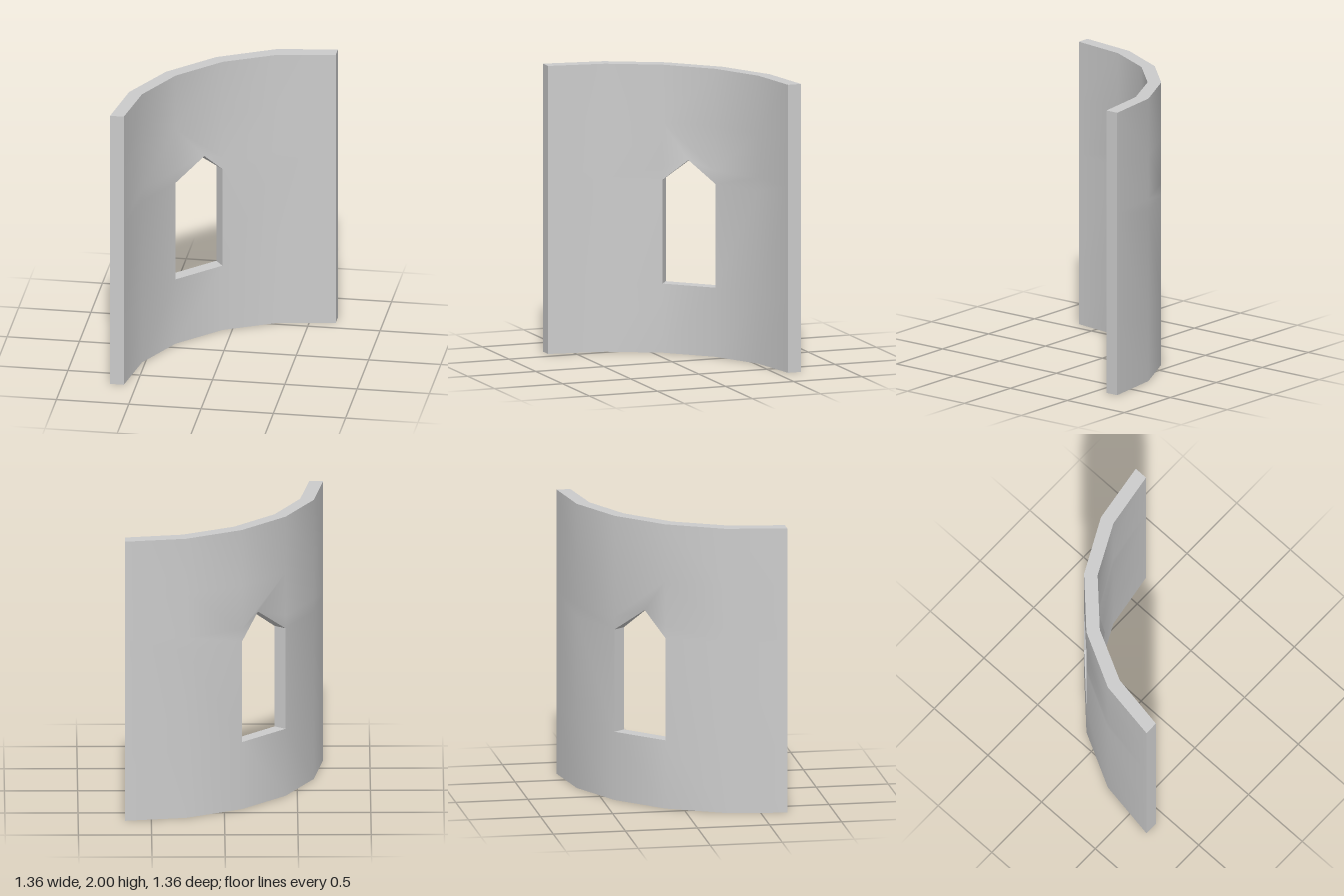
import * as THREE from 'three';

// Plan of half the wall as [x, z]; the other half mirrors it across the diagonal
const mirrorPlan = half => [...half, ...half.slice().reverse().map(([x, z]) => [z, x])];
const INNER = mirrorPlan([[-0.585, 0.68], [-0.522, 0.285], [-0.345, -0.065]]);
const OUTER = mirrorPlan([[-0.68, 0.68], [-0.615, 0.26], [-0.42, -0.12]]);
const LEVELS = [0, 0.48, 1.2, 1.29, 1.6, 2];
const COLS = INNER.length, ROWS = LEVELS.length;
const SILL = 1, SPRING = 2, TOP = ROWS - 1;
const WINDOW_COL = 2; // the window fills the panel between columns 2 and 3
const INNER_APEX = [-0.165, 1.36, -0.185];
const OUTER_APEX = [-0.23, 1.355, -0.23];

const id = (col, row) => col * ROWS + row;
const APEX = COLS * ROWS;

// All points of one face of the wall: a grid plus the tip of the arch
function facePoints(plan, apex) {
  const points = [];
  for (const [x, z] of plan) for (const y of LEVELS) points.push([x, y, z]);
  points.push(apex);
  return points;
}

// Triangles of one face, counter-clockwise as seen from the inside of the curve
function faceTriangles() {
  const tris = [];
  for (let c = 0; c < COLS - 1; c++) {
    for (let r = 0; r < TOP; r++) {
      if (c === WINDOW_COL && r >= SILL && r < TOP - 1) continue;
      const a = id(c, r), b = id(c + 1, r), d = id(c + 1, r + 1), e = id(c, r + 1);
      tris.push([a, b, d], [a, d, e]);
    }
  }
  // Folded surface over the arch
  const L = r => id(WINDOW_COL, r), R = r => id(WINDOW_COL + 1, r);
  tris.push(
    [L(2), APEX, L(3)], [L(3), APEX, L(4)],
    [APEX, R(2), R(3)], [L(4), APEX, R(3)],
    [L(4), R(3), R(4)]
  );
  return tris;
}

// Smoothly shaded face of the wall
function wallFace(points, flip) {
  const geo = new THREE.BufferGeometry();
  geo.setAttribute('position', new THREE.Float32BufferAttribute(points.flat(), 3));
  geo.setIndex(faceTriangles().flatMap(([a, b, c]) => (flip ? [a, c, b] : [a, b, c])));
  geo.computeVertexNormals();
  return geo;
}

// Flat strip joining the two faces along a closed loop of point numbers
function rim(loop, inner, outer) {
  const pos = [];
  loop.forEach((a, i) => {
    const b = loop[(i + 1) % loop.length];
    pos.push(outer[a], outer[b], inner[b], outer[a], inner[b], inner[a]);
  });
  const geo = new THREE.BufferGeometry();
  geo.setAttribute('position', new THREE.Float32BufferAttribute(pos.flat(), 3));
  geo.computeVertexNormals();
  return geo;
}

export function createModel() {
  const group = new THREE.Group();
  group.name = 'curvedWallWithWindow';
  const material = new THREE.MeshStandardMaterial({ color: 0xcccccc });
  const add = (name, geo) => {
    const mesh = new THREE.Mesh(geo, material);
    mesh.name = name;
    group.add(mesh);
  };

  const inner = facePoints(INNER, INNER_APEX);
  const outer = facePoints(OUTER, OUTER_APEX);
  add('innerFace', wallFace(inner, false));
  add('outerFace', wallFace(outer, true));

  // Bottom, ends and top of the wall
  const border = [];
  for (let c = 0; c < COLS; c++) border.push(id(c, 0));
  for (let c = COLS - 1; c >= 0; c--) border.push(id(c, TOP));
  add('wallEdges', rim(border, inner, outer));

  // Sill, jambs and pointed arch, running the opposite way round
  const l = WINDOW_COL, r = WINDOW_COL + 1;
  add('windowReveal', rim([id(l, SILL), id(l, SPRING), APEX, id(r, SPRING), id(r, SILL)], inner, outer));

  return group;
}
